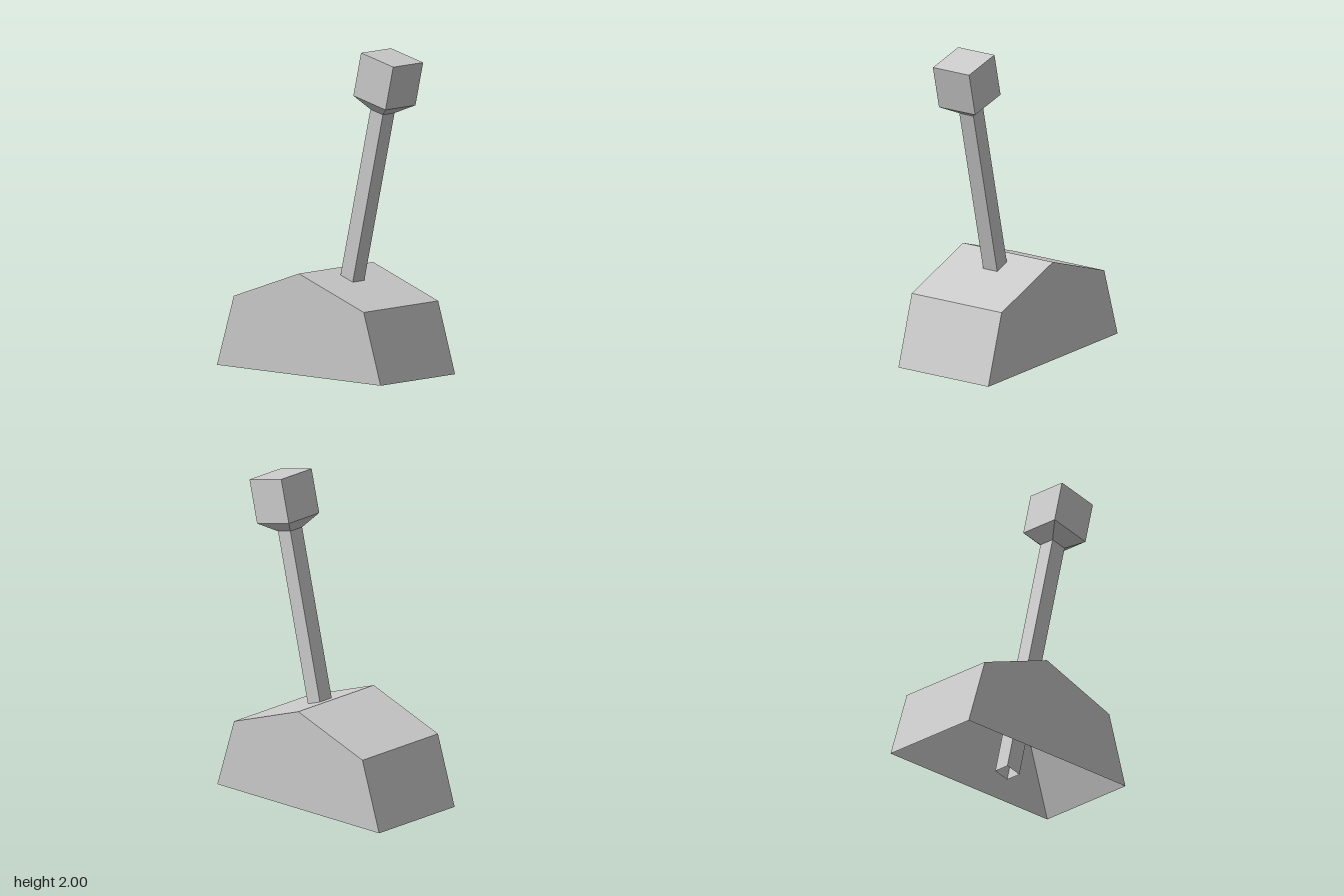
import * as THREE from 'three';

const profile = [[-0.664, 0.033], [-0.527, 0.465], [0, 0.65], [0.527, 0.465], [0.664, 0.033]];
const HALF_DEPTH = 0.333;

// Sloped outer walls and roof, swept along z and open underneath
function shellGeometry() {
  const pos = [];
  for (let i = 0; i < profile.length - 1; i++) {
    const [a, b] = [profile[i], profile[i + 1]];
    const quad = [[...a, HALF_DEPTH], [...b, HALF_DEPTH], [...b, -HALF_DEPTH], [...a, -HALF_DEPTH]];
    for (const k of [0, 1, 2, 0, 2, 3]) pos.push(...quad[k]);
  }
  const geo = new THREE.BufferGeometry();
  geo.setAttribute('position', new THREE.Float32BufferAttribute(pos, 3));
  geo.computeVertexNormals();
  return geo;
}

// Square-section stem from [half width, height] pairs
function squareLathe(points) {
  const pts = points.map(([w, y]) => new THREE.Vector2(w * Math.SQRT2, y));
  return new THREE.LatheGeometry(pts, 4, Math.PI / 4);
}

export function createModel() {
  const grey = new THREE.MeshStandardMaterial({ color: 0xcccccc, flatShading: true, side: THREE.DoubleSide });
  grey.name = 'light grey';
  const model = new THREE.Group();
  model.name = 'lever';

  const add = (name, geo, parent) => {
    const mesh = new THREE.Mesh(geo, grey);
    mesh.name = name;
    parent.add(mesh);
    return mesh;
  };

  // Hollow base: swept shell plus two gable walls
  const base = new THREE.Group();
  base.name = 'base';
  model.add(base);
  add('baseShell', shellGeometry(), base);
  const gable = new THREE.ShapeGeometry(new THREE.Shape(profile.map(([x, y]) => new THREE.Vector2(x, y))));
  add('frontWall', gable, base).position.z = HALF_DEPTH;
  const back = add('backWall', gable, base);
  back.position.z = -HALF_DEPTH;
  back.rotation.y = Math.PI;

  // Tilted handle: shaft, then a knob flaring out of it
  const handle = new THREE.Group();
  handle.name = 'handle';
  handle.position.set(-0.006, 0.012, 0);
  handle.rotation.z = -0.2315;
  model.add(handle);
  add('shaft', squareLathe([[0.052, 0], [0.052, 1.67]]), handle);
  add('knob', squareLathe([[0.052, 1.67], [0.134, 1.738], [0.134, 2.011], [0, 2.011]]), handle);

  return model;
}
